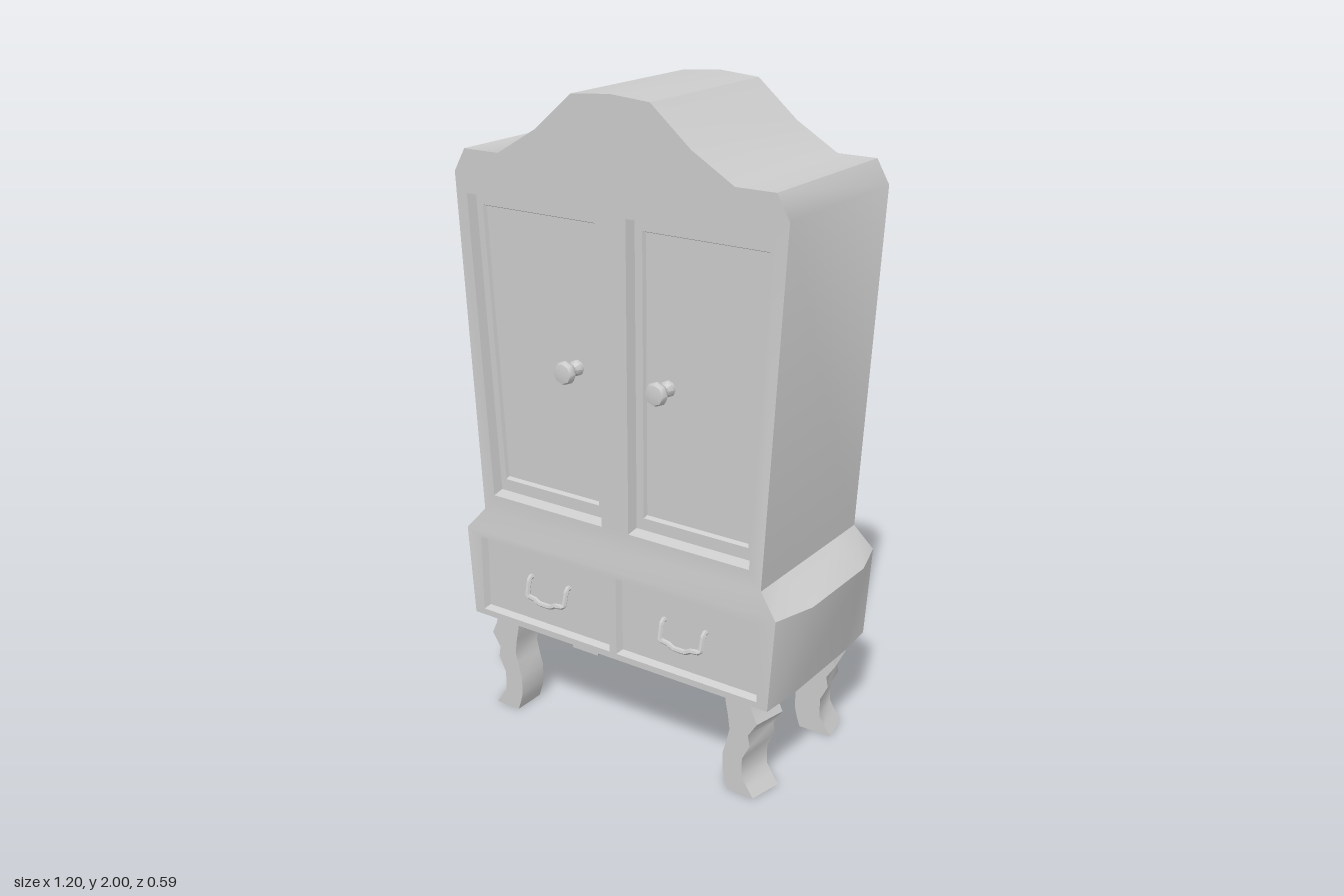
import * as THREE from 'three';
import { mergeGeometries, toCreasedNormals } from 'three/addons/utils/BufferGeometryUtils.js';

const grey = new THREE.MeshStandardMaterial({ color: 0xcccccc });
grey.name = 'plain grey';

// Quads between two rings of [x, y, z] points
function strip(a, b, closed = true, flip = false) {
  const pos = [];
  const n = a.length;
  for (let i = 0; i < (closed ? n : n - 1); i++) {
    const j = (i + 1) % n;
    const q = flip ? [a[j], a[i], b[i], b[j]] : [a[i], a[j], b[j], b[i]];
    for (const k of [0, 1, 2, 0, 2, 3]) pos.push(...q[k]);
  }
  const g = new THREE.BufferGeometry();
  g.setAttribute('position', new THREE.Float32BufferAttribute(pos, 3));
  return g;
}

// Flat face from [x, y] points, with optional holes
function face(points, z = 0, holes = []) {
  const toVec = (p) => new THREE.Vector2(p[0], p[1]);
  const shape = new THREE.Shape(points.map(toVec));
  for (const h of holes) shape.holes.push(new THREE.Path(h.map(toVec)));
  const g = new THREE.ShapeGeometry(shape).toNonIndexed();
  g.deleteAttribute('normal');
  g.deleteAttribute('uv');
  return g.translate(0, 0, z);
}

const atZ = (pts, z) => pts.map(([x, y]) => [x, y, z]);
const mirrorX = (pts) => pts.map(([x, y]) => [-x, y]).reverse();
const lerpLoop = (a, b, t) => a.map((p, i) => [p[0] + (b[i][0] - p[0]) * t, p[1] + (b[i][1] - p[1]) * t]);

function addMesh(parent, name, geometry, crease = 0.62) {
  const mesh = new THREE.Mesh(toCreasedNormals(geometry, crease), grey);
  mesh.name = name;
  parent.add(mesh);
  return mesh;
}

// Stepped recess: each step is [blend from outer to inner loop, depth z]
function recess(outer, inner, steps) {
  const loops = steps.map(([t, z]) => atZ(lerpLoop(outer, inner, t), z));
  const parts = [];
  for (let i = 1; i < loops.length; i++) parts.push(strip(loops[i - 1], loops[i]));
  parts.push(face(loops[loops.length - 1], steps[steps.length - 1][1]));
  return mergeGeometries(parts);
}

// Plan ring of the bulging base: a = corner half width, b = side half width
function planRing(y, a, b, zf, zb) {
  return [[a, y, zf], [b, y, 0.14], [b, y, -0.16], [a, y, zb],
    [-a, y, zb], [-b, y, -0.16], [-b, y, 0.14], [-a, y, zf]];
}

export function createModel() {
  const model = new THREE.Group();
  model.name = 'wardrobe';

  // Opening outlines on the +x side
  const doorOuter = [[0.048, 0.735], [0.46, 0.735], [0.518, 1.67], [0.048, 1.67]];
  const doorInner = [[0.085, 0.79], [0.434, 0.79], [0.482, 1.63], [0.085, 1.63]];
  const drawerOuter = [[0.013, 0.34], [0.505, 0.34], [0.505, 0.59], [0.013, 0.59]];
  const drawerInner = [[0.023, 0.35], [0.495, 0.35], [0.495, 0.58], [0.023, 0.58]];

  // Cabinet shell: arched upper body, sloping waist and drawer base
  const half = [[0.5, 0.68], [0.56, 1.73], [0.52, 1.8], [0.395, 1.8], [0.26, 1.88], [0.13, 1.99]];
  const outline = [...half, [0, 2], ...mirrorX(half)];
  const front = 0.26, back = -0.282, baseFront = 0.278, baseBack = -0.297;
  const waist = planRing(0.68, 0.5, 0.5, front, back);
  const bulge = planRing(0.61, 0.56, 0.6, baseFront, baseBack);
  const foot = planRing(0.32, 0.54, 0.55, baseFront, baseBack);
  addMesh(model, 'cabinet', mergeGeometries([
    strip(atZ(outline, back), atZ(outline, front), false),
    face(outline, front, [doorOuter, mirrorX(doorOuter)]),
    face(outline).rotateY(Math.PI).translate(0, 0, back),
    strip(bulge, waist),
    strip(foot, bulge, false),
    face([[-0.54, 0.32], [0.54, 0.32], [0.56, 0.61], [-0.56, 0.61]], baseFront,
      [drawerOuter, mirrorX(drawerOuter)]),
    face(foot.map((p) => [p[0], p[2]])).rotateX(Math.PI / 2).translate(0, 0.32, 0),
  ]));

  // Knob profile: base plate, neck, rounded head
  const knobProfile = [[0.024, 0], [0.024, 0.01], [0.014, 0.022], [0.014, 0.038],
    [0.032, 0.048], [0.036, 0.06], [0.03, 0.074], [0, 0.08]].map((p) => new THREE.Vector2(...p));

  // Drooping drawer pull
  const halfPull = [[-0.072, 0.035, 0.252], [-0.072, 0.035, 0.272], [-0.07, -0.018, 0.286], [-0.04, -0.022, 0.288], [-0.02, -0.032, 0.288]];
  const pullPoints = [...halfPull, ...halfPull.map(([x, y, z]) => [-x, y, z]).reverse()]
    .map((p) => new THREE.Vector3(...p));
  const pullPath = new THREE.CatmullRomCurve3(pullPoints, false, 'catmullrom', 0.15);

  // Leg rows: [y, inner x, outer x]
  const legRows = [[0.32, 0.386, 0.49], [0.29, 0.388, 0.498], [0.25, 0.396, 0.516], [0.205, 0.402, 0.487],
    [0.17, 0.394, 0.493], [0.12, 0.38, 0.468], [0.06, 0.38, 0.468], [0.03, 0.388, 0.487], [0, 0.398, 0.508]];

  for (const s of [1, -1]) {
    const side = s > 0 ? 'left' : 'right';
    const m = (pts) => (s > 0 ? pts : mirrorX(pts));

    addMesh(model, side + 'Door', recess(m(doorOuter), m(doorInner),
      [[0, front], [0.2, 0.228], [0.88, 0.228], [1, 0.216]]));
    addMesh(model, side + 'Drawer', recess(m(drawerOuter), m(drawerInner), [[0, baseFront], [1, 0.258]]));

    const knob = addMesh(model, side + 'Knob', new THREE.LatheGeometry(knobProfile, 8), 0.8);
    knob.rotation.x = Math.PI / 2;
    knob.position.set(0.16 * s, 1.195, 0.216);

    const pull = addMesh(model, side + 'DrawerPull', new THREE.TubeGeometry(pullPath, 36, 0.008, 6), 0.9);
    pull.position.set(0.248 * s, 0.462, 0);

    // Wavy legs, outer face angled to follow the base
    for (const e of [1, -1]) {
      const flip = s * e < 0;
      const [zOut, zIn] = e > 0 ? [0.255, 0.148] : [-0.275, -0.168];
      const rings = legRows.map(([y, xi, xo]) => [[s * xi, y, zOut], [s * (xo - 0.022), y, zOut],
        [s * xo, y, zIn], [s * xi, y, zIn]]);
      const parts = [];
      for (let i = 1; i < rings.length; i++) parts.push(strip(rings[i], rings[i - 1], true, flip));
      parts.push(face(rings[rings.length - 1].map((p) => [p[0], p[2]])).rotateX(Math.PI / 2));
      addMesh(model, (e > 0 ? 'front' : 'back') + (s > 0 ? 'Left' : 'Right') + 'Leg', mergeGeometries(parts), 0.9);
    }
  }
  return model;
}
